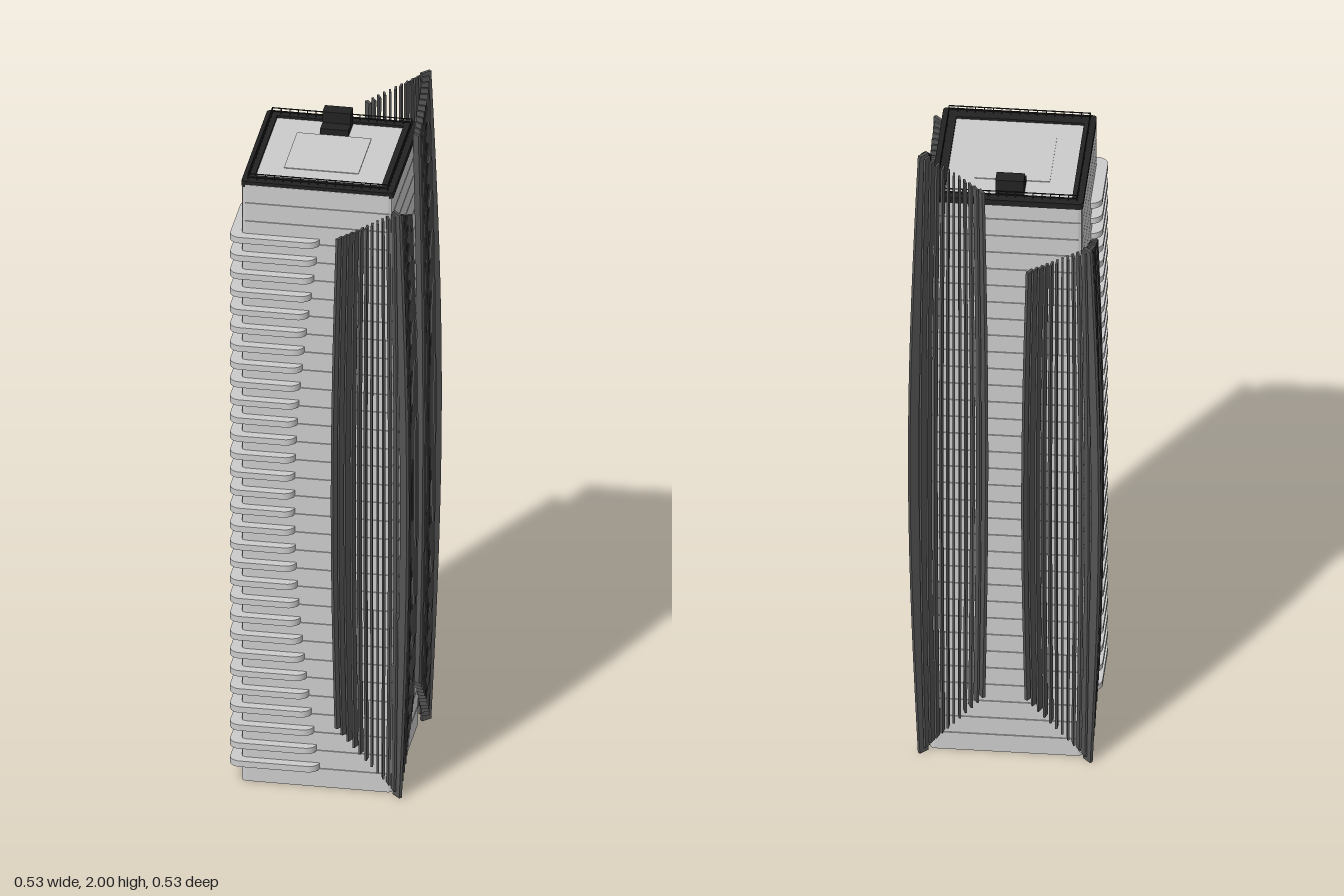
import * as THREE from 'three';
import { mergeGeometries } from 'three/addons/utils/BufferGeometryUtils.js';

const FLOORS = 33, TOP = 1.84, STEP = TOP / FLOORS, HALF = 0.209;
const grey = new THREE.MeshStandardMaterial({ color: 0xcccccc });
const dark = new THREE.MeshStandardMaterial({ color: 0x222222 });
const finGrey = new THREE.MeshStandardMaterial({ color: 0x555555 });

// Rounded rectangle in plan, given as x and z ranges
function plan(x0, x1, z0, z1, r, Type = THREE.Shape) {
  const s = new Type(), a = -z1, b = -z0;
  s.moveTo(x0 + r, a);
  s.lineTo(x1 - r, a);
  s.absarc(x1 - r, a + r, r, -Math.PI / 2, 0, false);
  s.lineTo(x1, b - r);
  s.absarc(x1 - r, b - r, r, 0, Math.PI / 2, false);
  s.lineTo(x0 + r, b);
  s.absarc(x0 + r, b - r, r, Math.PI / 2, Math.PI, false);
  s.lineTo(x0, a + r);
  s.absarc(x0 + r, a + r, r, Math.PI, Math.PI * 1.5, false);
  return s;
}

// Extrudes a plan upward from y
function slab(shape, y, h) {
  return new THREE.ExtrudeGeometry(shape, { depth: h, bevelEnabled: false, curveSegments: 6 })
    .rotateX(-Math.PI / 2).translate(0, y, 0);
}

function box(x0, x1, y0, y1, z0, z1) {
  return new THREE.BoxGeometry(x1 - x0, y1 - y0, z1 - z0)
    .translate((x0 + x1) / 2, (y0 + y1) / 2, (z0 + z1) / 2);
}

function add(group, name, parts, material) {
  const mesh = new THREE.Mesh(mergeGeometries(parts.map(g => g.index ? g.toNonIndexed() : g)), material);
  mesh.name = name;
  group.add(mesh);
}

// Upright blade: thin four-cornered section swept up a bowed path
function blade(base, dir, bulge, depth, thick, y0, y1, top) {
  const rows = 18, pos = [], idx = [];
  const n = new THREE.Vector2(-dir.y, dir.x).multiplyScalar(thick / 2);
  for (let i = 0; i <= rows; i++) {
    const y = y0 + (y1 - y0) * i / rows;
    const bow = bulge * Math.sin(Math.PI * y / top);
    for (const [d, s] of [[0, 1], [0, -1], [depth, -1], [depth, 1]]) {
      pos.push(base.x + dir.x * (bow + d) + n.x * s, y, base.y + dir.y * (bow + d) + n.y * s);
    }
  }
  for (let i = 0; i < rows; i++) {
    for (let k = 0; k < 4; k++) {
      const a = i * 4 + k, b = i * 4 + (k + 1) % 4;
      idx.push(a, a + 4, b, b, a + 4, b + 4);
    }
  }
  const e = rows * 4;
  idx.push(0, 1, 2, 0, 2, 3, e, e + 2, e + 1, e, e + 3, e + 2);
  const g = new THREE.BufferGeometry();
  g.setAttribute('position', new THREE.Float32BufferAttribute(pos, 3));
  g.setIndex(idx);
  const flat = g.toNonIndexed();
  flat.computeVertexNormals();
  return flat;
}

// Corner screen: one diagonal blade and a fan of blades along each wall
function finScreen(sx, sz, top, drop) {
  const parts = [], count = 11;
  const place = (x, z, dx, dz, ...rest) => parts.push(
    blade(new THREE.Vector2(x * sx, z * sz), new THREE.Vector2(dx * sx, dz * sz).normalize(), ...rest));
  place(0.214, 0.214, 1, 1, 0.035, 0.031, 0.009, 0, top, top);
  for (let i = 1; i <= count; i++) {
    const t = i / count;
    const along = 0.222 - 0.147 * t, lean = 0.75 - 1.5 * t;
    const bulge = 0.014 + 0.008 * Math.abs(2 * t - 1);
    const args = [bulge, 0.022, i === count ? 0.009 : 0.006, 0.2 * t, top - drop * t, top];
    place(along, 0.216, lean, 1, ...args);
    place(0.216, along, 1, lean, ...args);
  }
  return parts;
}

export function createModel() {
  const model = new THREE.Group();

  // Hollow base storey, then stacked storeys with thin joints between
  const base = plan(-HALF, HALF, -HALF, HALF, 0.015);
  base.holes.push(plan(-0.195, 0.195, -0.195, 0.195, 0.004, THREE.Path));
  add(model, 'baseStorey', [slab(base, 0, STEP)], grey);
  const storeys = [box(-0.206, 0.206, STEP, TOP - 0.002, -0.206, 0.206)];
  for (let k = 1; k < FLOORS; k++) {
    storeys.push(slab(plan(-HALF, HALF, -HALF, HALF, 0.015), k * STEP + 0.003, STEP - 0.003));
  }
  add(model, 'storeys', storeys, grey);

  // Balconies wrapping one front corner, narrowing toward mid height
  const balconies = [];
  for (let k = 1; k <= 30; k++) {
    const w = 0.068 * Math.sin(Math.PI * (k - 1) / 29);
    balconies.push(slab(plan(-0.24, 0.007 - w, 0.019 + w, 0.236, 0.03), k * STEP, 0.018));
  }
  add(model, 'balconies', balconies, grey);

  // Blade screens on the other three corners
  add(model, 'frontLeftFins', finScreen(1, 1, 1.8, 0.09), finGrey);
  add(model, 'backLeftFins', finScreen(1, -1, 2, 0.11), finGrey);
  add(model, 'backRightFins', finScreen(-1, -1, 1.71, 0.08), finGrey);

  // Roof rim, deck and central pad
  const rim = plan(-0.21, 0.21, -0.211, 0.208, 0.012);
  rim.holes.push(plan(-0.178, 0.171, -0.182, 0.168, 0.001, THREE.Path));
  add(model, 'roofRim', [slab(rim, TOP - 0.008, 0.018)], dark);
  add(model, 'roofDeck', [box(-0.178, 0.171, TOP - 0.002, TOP + 0.003, -0.182, 0.168)], grey);
  add(model, 'roofPad', [slab(plan(-0.11, 0.096, -0.105, 0.101, 0.003), TOP, 0.005)], grey);

  // Roof plant: tall back part and a lower step
  add(model, 'roofPlant', [
    box(-0.046, 0.032, TOP, 1.895, -0.181, -0.142),
    box(-0.046, 0.032, TOP, 1.862, -0.142, -0.106)
  ], dark);

  // Guard rail around the roof
  const rail = [], r = 0.193, t = 0.0012;
  for (let side = 0; side < 4; side++) {
    const parts = [1.857, 1.867].map(y => box(-r, r, y - t, y + t, r - t, r + t));
    for (let i = 0; i < 16; i++) {
      const x = -r + 2 * r * i / 16;
      parts.push(box(x - t, x + t, TOP, 1.868, r - t, r + t));
    }
    rail.push(...parts.map(g => g.rotateY(side * Math.PI / 2)));
  }
  add(model, 'roofRail', rail, dark);

  return model;
}
